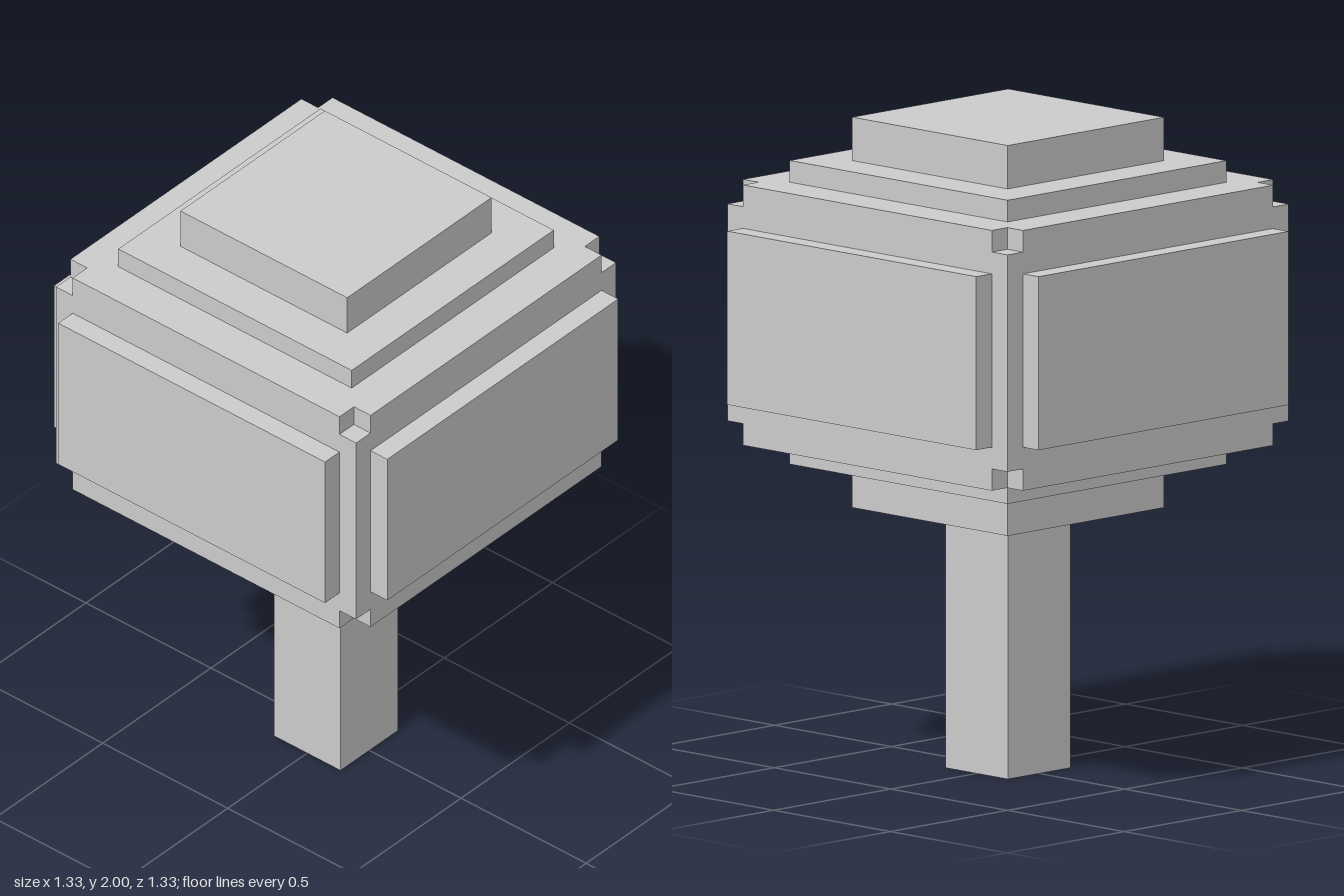
import * as THREE from 'three';

const U = 1 / 15; // one block of the grid the tree is built on
const material = new THREE.MeshStandardMaterial({ color: 0xcccccc, flatShading: true });

function addMesh(parent, name, geometry, x, y, z) {
  const mesh = new THREE.Mesh(geometry, material);
  mesh.name = name;
  mesh.position.set(x * U, y * U, z * U);
  parent.add(mesh);
  return mesh;
}

// Square slab of the given half width, from y0 to y1 (in blocks)
function addSlab(parent, name, half, y0, y1) {
  const geometry = new THREE.BoxGeometry(2 * half * U, (y1 - y0) * U, 2 * half * U);
  return addMesh(parent, name, geometry, 0, (y0 + y1) / 2, 0);
}

// Box with a one-block cube cut out of each of its eight corners
function notchedBox(hx, hy, hz) {
  const half = [hx, hy, hz];
  const geometry = new THREE.BoxGeometry(2 * hx, 2 * hy, 2 * hz, 3, 3, 3).toNonIndexed();
  const pos = geometry.attributes.position;
  const normal = geometry.attributes.normal;

  // Slide the inner grid lines to one block from the edges
  for (let i = 0; i < pos.count; i++) {
    half.forEach((h, a) => {
      const v = pos.getComponent(i, a);
      if (Math.abs(v) < h * 0.9) pos.setComponent(i, a, Math.sign(v) * (h - 1));
    });
  }

  // Push each corner patch one block inward
  for (let i = 0; i < pos.count; i += 3) {
    const inCorner = half.every((h, a) => {
      const sum = pos.getComponent(i, a) + pos.getComponent(i + 1, a) + pos.getComponent(i + 2, a);
      return Math.abs(sum / 3) > h - 1;
    });
    if (!inCorner) continue;
    for (let k = i; k < i + 3; k++) {
      for (let a = 0; a < 3; a++) {
        pos.setComponent(k, a, pos.getComponent(k, a) - Math.round(normal.getComponent(k, a)));
      }
    }
  }
  return geometry.scale(U, U, U);
}

export function createModel() {
  const tree = new THREE.Group();
  tree.name = 'blockTree';

  addSlab(tree, 'trunk', 2, 0, 12);

  const canopy = new THREE.Group();
  canopy.name = 'canopy';
  tree.add(canopy);

  // Stepped underside, main block and stepped top
  addSlab(canopy, 'lowerStep', 5, 12, 14);
  addSlab(canopy, 'lowerLedge', 7, 14, 15);
  addMesh(canopy, 'canopyBody', notchedBox(9, 6, 9), 0, 21, 0);
  addSlab(canopy, 'upperLedge', 7, 27, 28);
  addSlab(canopy, 'upperStep', 5, 28, 30);

  // Raised leaf panel on each of the four sides
  const panel = new THREE.BoxGeometry(16 * U, 8 * U, U);
  ['front', 'left', 'back', 'right'].forEach((side, i) => {
    const angle = (i * Math.PI) / 2;
    const mesh = addMesh(canopy, side + 'Panel', panel, 9.5 * Math.sin(angle), 21, 9.5 * Math.cos(angle));
    mesh.rotation.y = angle;
  });

  return tree;
}
